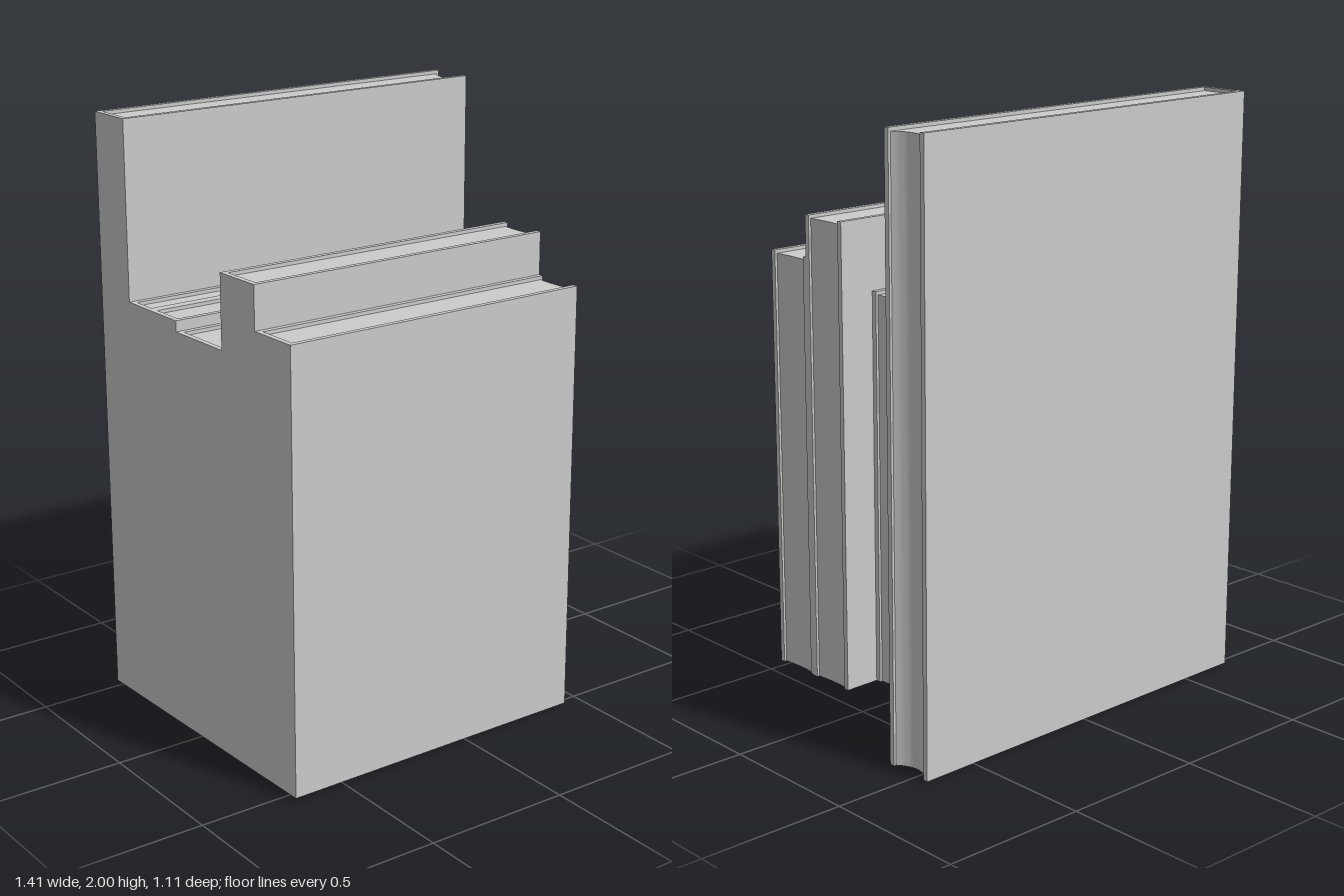
import * as THREE from 'three';
import { toCreasedNormals } from 'three/addons/utils/BufferGeometryUtils.js';

const COVER = 0.018;   // board thickness
const SPINE_X = -0.694;

// [back z, front z, fore-edge x, height, hollow of the page edge]
const BOOKS = [
  [-0.540, -0.367, 0.703, 1.995, 0.028],
  [-0.367, -0.244, 0.463, 1.40, 0.003],
  [-0.244, -0.087, 0.182, 1.40, 0.003],
  [-0.087, 0.170, 0.299, 1.364, 0.004],
  [0.170, 0.352, 0.427, 1.608, 0.004],
  [0.352, 0.536, 0.425, 1.465, 0.004],
];

const material = new THREE.MeshStandardMaterial({ color: 0xcccccc });

// Raise a plan outline (x, -z) into an upright solid
function upright(shape, height, name) {
  const geometry = new THREE.ExtrudeGeometry(shape, { depth: height, bevelEnabled: false, curveSegments: 16 });
  geometry.rotateX(-Math.PI / 2);
  const mesh = new THREE.Mesh(toCreasedNormals(geometry, 0.5), material);
  mesh.name = name;
  return mesh;
}

function polygon(points) {
  return new THREE.Shape(points.map(([x, z]) => new THREE.Vector2(x, -z)));
}

function createBook([back, front, end, height, hollow]) {
  const book = new THREE.Group();
  const inX = SPINE_X + COVER, inBack = back + COVER, inFront = front - COVER;

  // Two boards and a spine in one U-shaped case
  const cover = polygon([
    [SPINE_X, front], [end, front], [end, inFront], [inX, inFront],
    [inX, inBack], [end, inBack], [end, back], [SPINE_X, back],
  ]);
  book.add(upright(cover, height, 'cover'));

  // Page block, set below the boards, with a hollow fore edge
  const edge = end - 0.009;
  const pages = new THREE.Shape();
  pages.moveTo(inX, -inFront);
  pages.lineTo(edge, -inFront);
  pages.quadraticCurveTo(edge - hollow * 2, -(inFront + inBack) / 2, edge, -inBack);
  pages.lineTo(inX, -inBack);
  pages.closePath();
  book.add(upright(pages, height - 0.012, 'pages'));
  return book;
}

export function createModel() {
  const model = new THREE.Group();
  model.name = 'bookRow';
  const row = new THREE.Group();
  row.name = 'books';
  BOOKS.forEach((spec, i) => {
    const book = createBook(spec);
    book.name = `book${i + 1}`;
    row.add(book);
  });
  // The whole row stands very slightly askew
  row.rotation.set(-0.005, 0.0143, -0.003);
  row.position.y = 0.005;
  model.add(row);
  return model;
}
